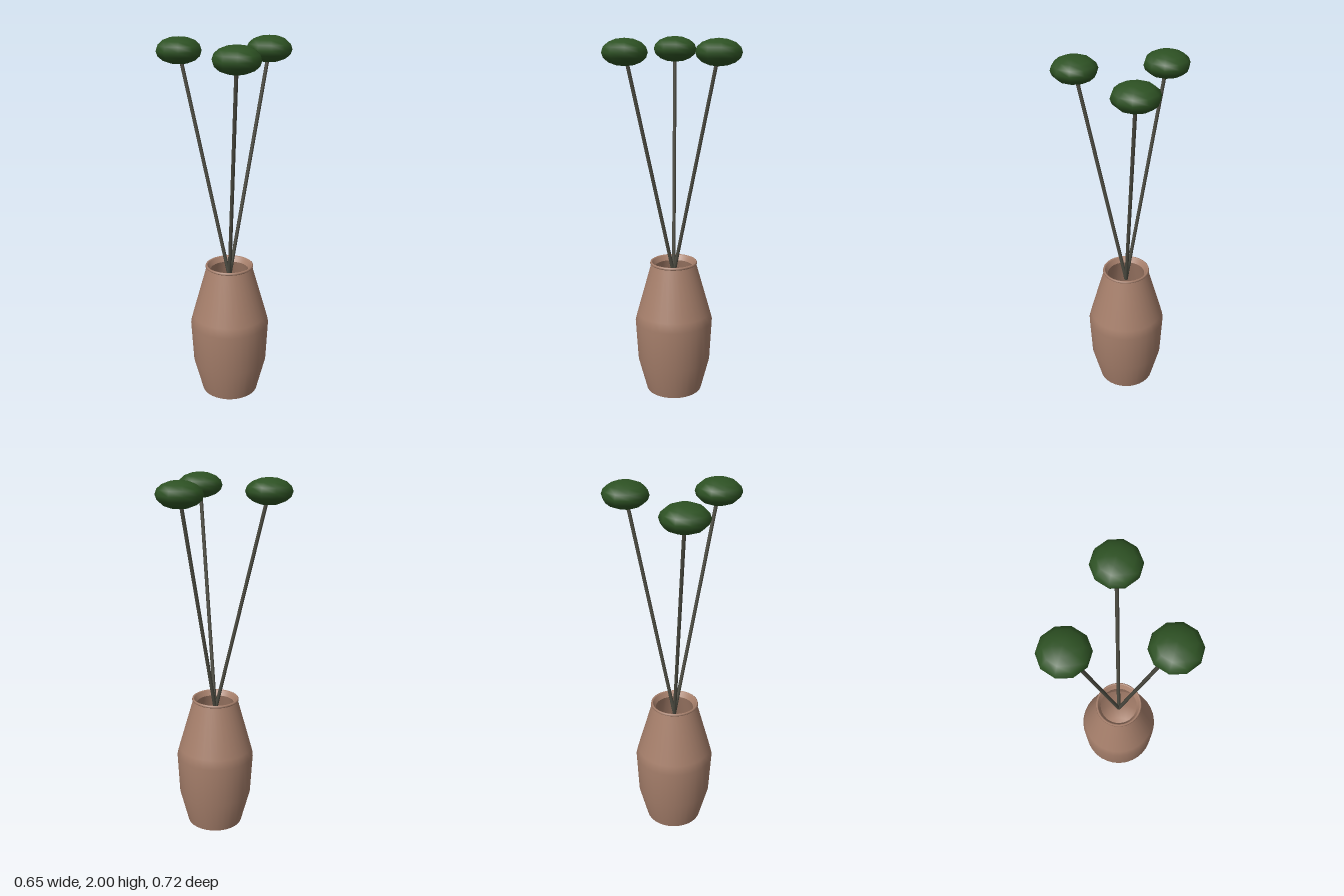
import * as THREE from 'three';

const mat = (name, color) => {
  const m = new THREE.MeshStandardMaterial({ color });
  m.name = name;
  return m;
};

export function createModel() {
  const clay = mat('clay', 0xa67f6b);
  const stemGrey = mat('stemGrey', 0x4b4a40);
  const leafGreen = mat('leafGreen', 0x2d5123);

  const model = new THREE.Group();
  model.name = 'vaseWithPlants';
  const add = (parent, name, geometry, material) => {
    const mesh = new THREE.Mesh(geometry, material);
    mesh.name = name;
    parent.add(mesh);
    return mesh;
  };

  // Vase: separate lathes keep the edges between base, body, lip and inside sharp
  const vase = new THREE.Group();
  vase.name = 'vase';
  vase.position.x = -0.07;
  model.add(vase);
  const profiles = {
    vaseBase: [[0, 0], [0.158, 0]],
    vaseBody: [[0.158, 0], [0.207, 0.19], [0.22, 0.425], [0.207, 0.475], [0.127, 0.76]],
    vaseLip: [[0.127, 0.76], [0.133, 0.765], [0.131, 0.773], [0.126, 0.776], [0.121, 0.772]],
    vaseInnerLip: [[0.121, 0.772], [0.105, 0.745]],
    vaseInside: [[0.105, 0.745], [0.185, 0.47], [0.2, 0.42], [0.187, 0.2], [0.14, 0.04], [0, 0.02]],
  };
  for (const [name, points] of Object.entries(profiles)) {
    const curve = points.map(([r, y]) => new THREE.Vector2(r, y));
    add(vase, name, new THREE.LatheGeometry(curve, 32), clay);
  }

  // Three leaning stems fan out from the neck, each with a flattened round head
  const foot = new THREE.Vector3(0, 0.7, 0);
  const up = new THREE.Vector3(0, 1, 0);
  for (let i = 0; i < 3; i++) {
    const angle = (i * Math.PI * 2) / 3;
    const plant = new THREE.Group();
    plant.name = `plant${i + 1}`;
    vase.add(plant);

    const tip = new THREE.Vector3(0.275 * Math.cos(angle), 1.93, 0.275 * Math.sin(angle));
    const along = tip.clone().sub(foot);
    const stem = add(plant, 'stem', new THREE.CylinderGeometry(0.01, 0.01, along.length(), 8), stemGrey);
    stem.position.copy(foot).add(tip).multiplyScalar(0.5);
    stem.quaternion.setFromUnitVectors(up, along.normalize());

    const ball = new THREE.SphereGeometry(0.123, 10, 8).rotateY(Math.PI / 2).scale(1, 0.57, 1);
    add(plant, 'head', ball, leafGreen).position.copy(tip);
  }
  return model;
}
